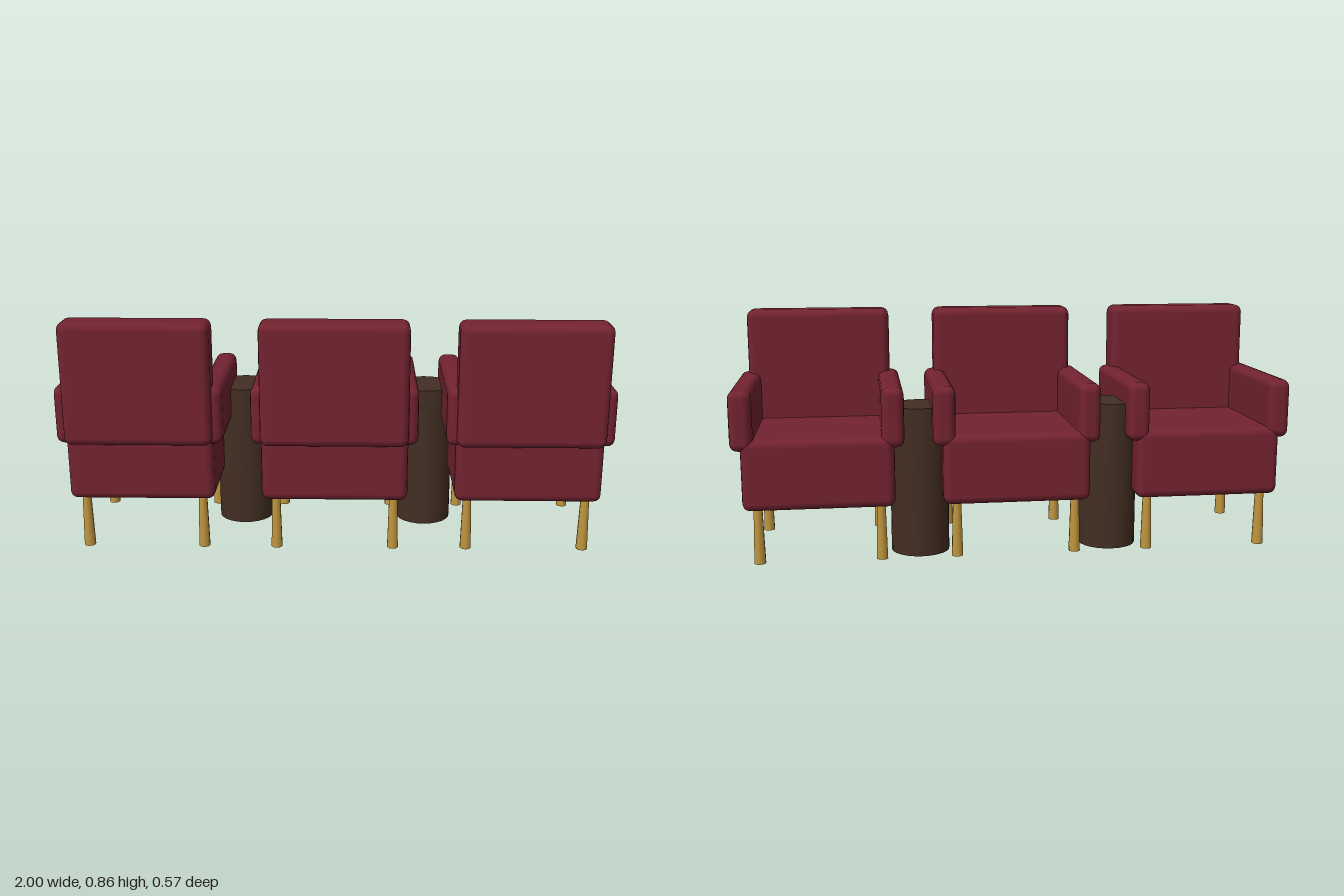
import * as THREE from 'three';
import { RoundedBoxGeometry } from 'three/addons/geometries/RoundedBoxGeometry.js';

const material = (name, color) => {
  const m = new THREE.MeshStandardMaterial({ color });
  m.name = name;
  return m;
};

export function createModel() {
  const upholstery = material('burgundy upholstery', 0x732330);
  const brass = material('brass', 0xc0963f);
  const wood = material('dark wood', 0x432e23);

  const group = new THREE.Group();
  group.name = 'chairRow';

  const add = (parent, name, geometry, mat, x, y, z) => {
    const mesh = new THREE.Mesh(geometry, mat);
    mesh.name = name;
    mesh.position.set(x, y, z);
    parent.add(mesh);
  };

  // Cushion given by its lower and upper limits on each axis
  const cushion = (parent, name, [x0, x1], [y0, y1], [z0, z1]) =>
    add(parent, name, new RoundedBoxGeometry(x1 - x0, y1 - y0, z1 - z0, 2, 0.028),
      upholstery, (x0 + x1) / 2, (y0 + y1) / 2, (z0 + z1) / 2);

  const legGeometry = new THREE.CylinderGeometry(0.015, 0.021, 0.22, 10);

  // Three armchairs, with the backrests on +z
  for (const x of [-0.7, 0, 0.7]) {
    const chair = new THREE.Group();
    chair.name = 'armchair';
    chair.position.x = x;
    group.add(chair);

    cushion(chair, 'seat', [-0.265, 0.265], [0.198, 0.45], [-0.283, 0.252]);
    cushion(chair, 'backrest', [-0.265, 0.265], [0.413, 0.86], [0.158, 0.285]);
    cushion(chair, 'rightArm', [-0.3, -0.22], [0.41, 0.623], [-0.283, 0.252]);
    cushion(chair, 'leftArm', [0.22, 0.3], [0.41, 0.623], [-0.283, 0.252]);

    // Tapered legs, wider at the floor
    for (const side of [-1, 1]) {
      for (const z of [-0.23, 0.2]) add(chair, 'leg', legGeometry, brass, side * 0.215, 0.11, z);
    }
  }

  // Drum tables between the chairs
  for (const x of [-0.358, 0.342]) {
    add(group, 'drumTable', new THREE.CylinderGeometry(0.106, 0.106, 0.54, 24), wood, x, 0.27, -0.124);
  }

  return group;
}
